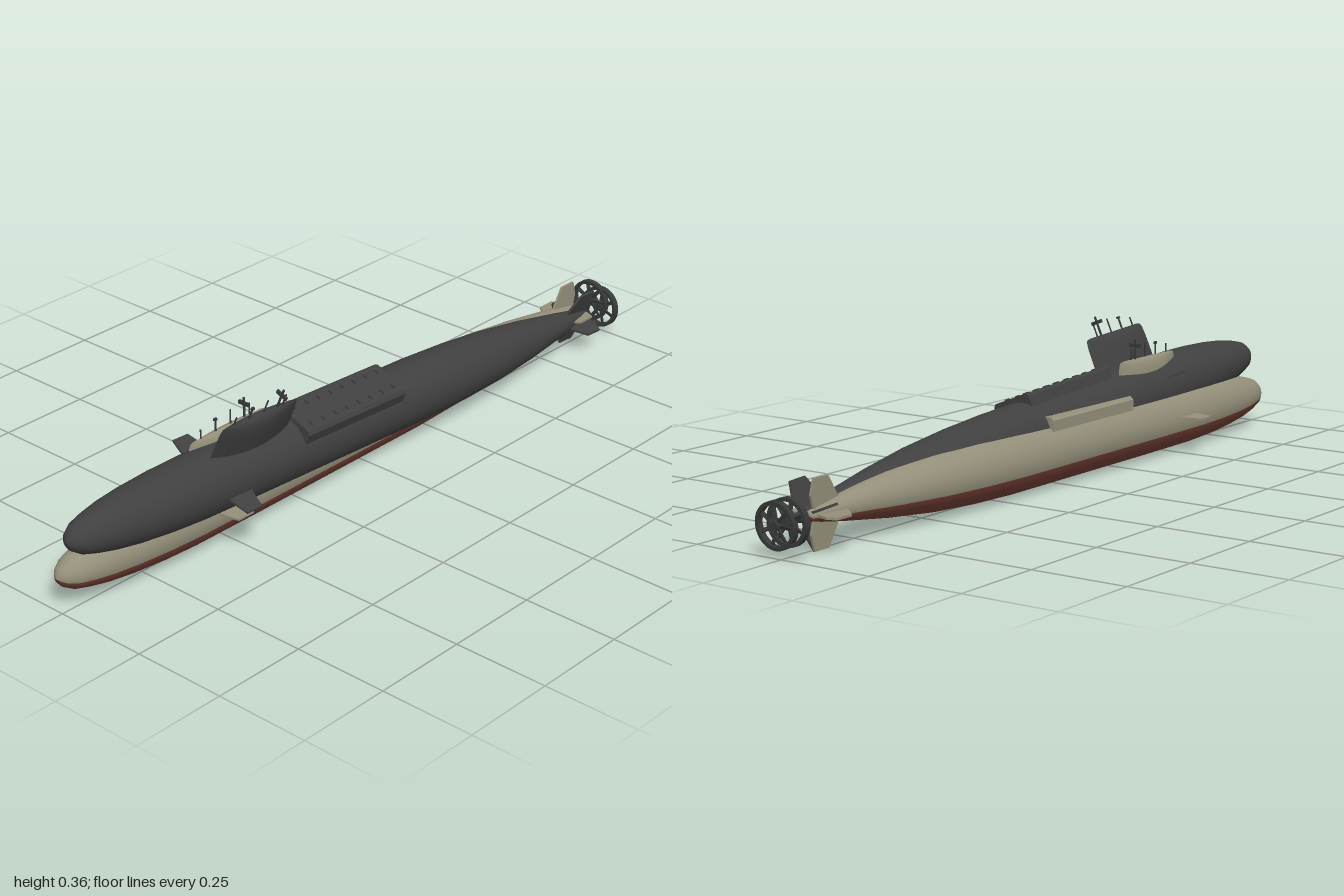
import * as THREE from 'three';

const material = (name, color) => Object.assign(new THREE.MeshStandardMaterial({ color }), { name });

// Hull profile: [z along the axis, radius], stern to bow
const PROFILE = [[-0.92, 0], [-0.919, 0.012], [-0.88, 0.02], [-0.8, 0.033], [-0.65, 0.054], [-0.5, 0.07],
  [-0.35, 0.079], [-0.2, 0.083], [0.1, 0.083], [0.4, 0.083], [0.6, 0.082], [0.7, 0.078], [0.8, 0.07],
  [0.87, 0.061], [0.92, 0.051], [0.96, 0.04], [0.985, 0.025], [0.995, 0.013], [1, 0]];

// Part of a hull surface; phi = 0 points straight down
function hullArc(phiStart, phiLength) {
  const points = PROFILE.map(([z, r]) => new THREE.Vector2(r, z));
  const segments = Math.round(phiLength / (Math.PI / 20));
  return new THREE.LatheGeometry(points, segments, phiStart, phiLength).rotateX(Math.PI / 2);
}

// Lens-shaped tower that narrows to a rounded ridge
function sailGeometry() {
  const rows = [[1, 0.05], [1, 0.12], [0.92, 0.145], [0.75, 0.162], [0.45, 0.172], [0, 0.175]];
  const geometry = new THREE.LatheGeometry(rows.map(([s, y]) => new THREE.Vector2(s + 1, y)), 36);
  const p = geometry.attributes.position;
  for (let i = 0; i < p.count; i++) {
    const s = Math.hypot(p.getX(i), p.getZ(i)) - 1;
    const phi = Math.atan2(p.getX(i), p.getZ(i));
    const taper = 0.82 + 0.18 * Math.sqrt(Math.max(s, 0));
    p.setX(i, 0.022 * s * Math.sin(phi) * Math.abs(Math.sin(phi)));
    p.setZ(i, 0.44 + 0.132 * taper * Math.cos(phi));
  }
  geometry.computeVertexNormals();
  return geometry;
}

// Flat plate from [span, z] corners, lying in the xz plane
function plateGeometry(corners, thickness) {
  const shape = new THREE.Shape(corners.map(([x, z]) => new THREE.Vector2(x, z)));
  return new THREE.ExtrudeGeometry(shape, { depth: thickness, bevelEnabled: false })
    .translate(0, 0, -thickness / 2).rotateX(Math.PI / 2);
}

function buildSubmarine(name, paint, keelPaint, fitting) {
  const sub = new THREE.Group();
  sub.name = name;
  const add = (partName, geometry, mat, parent = sub) => {
    const mesh = new THREE.Mesh(geometry, mat);
    mesh.name = partName;
    parent.add(mesh);
    return mesh;
  };

  // Hull, with the lower 144 degrees as the keel
  const half = THREE.MathUtils.degToRad(72);
  add('keelHull', hullArc(-half, half * 2), keelPaint);
  add('upperHull', hullArc(half, Math.PI * 2 - half * 2), paint);

  // Sail and masts
  add('sail', sailGeometry(), paint);
  for (const [z, top, r] of [[0.53, 0.197, 0.002], [0.48, 0.207, 0.0025], [0.43, 0.212, 0.002], [0.383, 0.226, 0.003], [0.365, 0.205, 0.002]]) {
    add('mast', new THREE.CylinderGeometry(r, r, top - 0.15, 8).translate(0, (top + 0.15) / 2, z), fitting);
  }
  add('mastCrossbar', new THREE.BoxGeometry(0.033, 0.009, 0.006).translate(0, 0.21, 0.383), fitting);
  add('periscopeHead', new THREE.BoxGeometry(0.006, 0.006, 0.009).translate(0, 0.205, 0.48), fitting);

  // Raised deck casing with two rows of hatches
  const casing = new THREE.Shape([[-0.058, 0.03], [0.058, 0.03], [0.058, 0.087], [0.05, 0.095],
    [-0.05, 0.095], [-0.058, 0.087]].map(([x, y]) => new THREE.Vector2(x, y)));
  add('deckCasing', new THREE.ExtrudeGeometry(casing, { depth: 0.355, bevelEnabled: false }).translate(0, 0, -0.065), paint);
  for (let i = 0; i < 8; i++) {
    for (const side of [-1, 1]) {
      add('hatchHinge', new THREE.BoxGeometry(0.012, 0.003, 0.005).translate(side * 0.03, 0.096, -0.04 + i * 0.043), fitting);
    }
  }

  // Bow planes
  const plane = plateGeometry([[0.06, 0.47], [0.1, 0.487], [0.135, 0.495], [0.135, 0.545], [0.1, 0.553], [0.06, 0.558]], 0.005);
  for (const side of [0, 1]) {
    const mesh = add('bowPlane', plane, paint);
    mesh.position.y = 0.011;
    mesh.rotation.z = side * Math.PI;
  }

  // Stern fins in a cross, the upright pair taller
  for (let i = 0; i < 4; i++) {
    const span = i % 2 ? 0.084 : 0.07;
    const fin = plateGeometry([[0.008, -0.81], [0.035, -0.825], [span, -0.855], [span, -0.905], [0.045, -0.915], [0.008, -0.905]], 0.006);
    add('sternFin', fin, paint).rotation.z = i * Math.PI / 2;
  }

  // Ringed propeller
  const propeller = new THREE.Group();
  propeller.name = 'propeller';
  propeller.position.z = -0.99;
  sub.add(propeller);
  const ring = new THREE.Shape().absarc(0, 0, 0.057, 0, Math.PI * 2);
  ring.holes.push(new THREE.Path().absarc(0, 0, 0.048, 0, Math.PI * 2, true));
  add('propellerRing', new THREE.ExtrudeGeometry(ring, { depth: 0.016, bevelEnabled: false, curveSegments: 20 })
    .translate(0, 0, -0.008), fitting, propeller);
  add('propellerHub', new THREE.CylinderGeometry(0.011, 0.011, 0.018, 16).rotateX(Math.PI / 2), fitting, propeller);
  const blade = new THREE.BoxGeometry(0.044, 0.01, 0.004).rotateX(0.5).translate(0.028, 0, 0);
  for (let i = 0; i < 7; i++) add('propellerBlade', blade, fitting, propeller).rotation.z = i * Math.PI * 2 / 7;
  return sub;
}

export function createModel() {
  const stone = material('stone grey paint', 0x948f7a);
  const charcoal = material('charcoal paint', 0x404040);
  const red = material('red keel paint', 0x713e34);
  const fitting = material('dark fittings', 0x383939);

  const model = new THREE.Group();
  model.name = 'submarinePair';

  // Level light hull
  const light = buildSubmarine('lightSubmarine', stone, red, fitting);
  light.position.set(-0.014, 0.085, 0);

  // Dark hull, rolled to its left with the bow raised
  const dark = buildSubmarine('darkSubmarine', charcoal, charcoal, fitting);
  dark.position.set(0.017, 0.131, -0.005);
  dark.rotation.set(-0.058, 0, -0.38);

  model.add(light, dark);
  return model;
}
